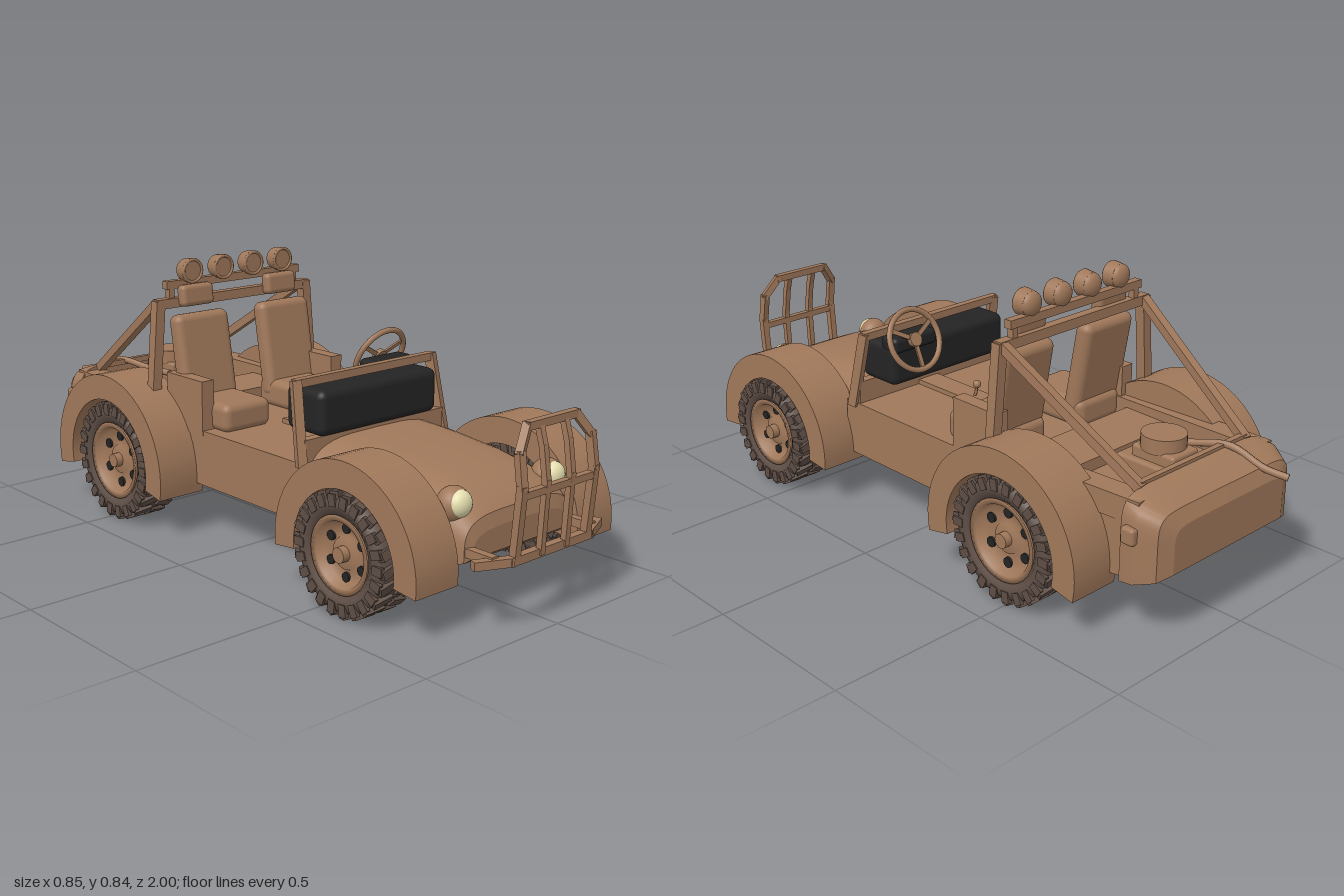
import * as THREE from 'three';
import { toCreasedNormals } from 'three/addons/utils/BufferGeometryUtils.js';
import { RoundedBoxGeometry } from 'three/addons/geometries/RoundedBoxGeometry.js';

const mat = (name, color, side = THREE.FrontSide) => {
  const m = new THREE.MeshStandardMaterial({ color, side });
  m.name = name;
  return m;
};
const V = (x, y, z) => new THREE.Vector3(x, y, z);

export function createModel() {
  const paint = mat('tan brown paint', 0xa0785a, THREE.DoubleSide);
  const rubber = mat('tyre rubber', 0x5e4e46);
  const black = mat('black trim', 0x242424);
  const cream = mat('headlight cream', 0xe6dfb0);
  const model = new THREE.Group();
  model.name = 'buggy';

  const add = (name, geo, material, x = 0, y = 0, z = 0, parent = model) => {
    const m = new THREE.Mesh(geo, material);
    m.name = name;
    m.position.set(x, y, z);
    parent.add(m);
    return m;
  };
  const box = (name, w, h, d, x, y, z, material = paint) =>
    add(name, new THREE.BoxGeometry(w, h, d), material, x, y, z);
  const soft = (name, w, h, d, r, x, y, z, material = paint) =>
    add(name, new RoundedBoxGeometry(w, h, d, 3, r), material, x, y, z);
  // Square bar between two points
  const bar = (name, a, b, t = 0.025) => {
    const m = add(name, new THREE.BoxGeometry(t, t, a.distanceTo(b) + t * 0.6), paint);
    m.position.copy(a).add(b).multiplyScalar(0.5);
    m.lookAt(b);
    return m;
  };
  const chain = (name, pts, t) => pts.slice(1).forEach((p, i) => bar(name, pts[i], p, t));
  const tube = (name, pts, r) =>
    add(name, new THREE.TubeGeometry(new THREE.CatmullRomCurve3(pts), 20, r, 8), paint);
  // Side outline of (z, y) points, extruded from x0 to x1
  const extrudeX = (name, pts, x0, x1) => {
    const g = new THREE.ExtrudeGeometry(new THREE.Shape(pts), { depth: x1 - x0, bevelEnabled: false });
    g.rotateY(-Math.PI / 2).translate(x1, 0, 0);
    return add(name, toCreasedNormals(g, 0.5), paint);
  };
  // Loft along z through superellipse arches: [z, halfWidth, bottom, top]
  const loft = (name, sections, p, n = 24) => {
    const pos = [], idx = [], row = n + 1;
    for (const [z, w, yb, yt] of sections)
      for (let i = 0; i <= n; i++) {
        const a = Math.PI * i / n, c = Math.cos(a), s = Math.max(0, Math.sin(a));
        pos.push(w * Math.sign(c) * Math.abs(c) ** p, yb + (yt - yb) * s ** p, z);
      }
    sections.forEach((_, k) => {
      if (!k) return;
      for (let i = 0; i < row; i++) {
        const j = (i + 1) % row, a = (k - 1) * row, b = k * row;
        idx.push(a + i, b + j, b + i, a + i, a + j, b + j);
      }
    });
    const last = (sections.length - 1) * row;
    for (let i = 1; i < n; i++) idx.push(0, i, i + 1, last, last + i + 1, last + i);
    const g = new THREE.BufferGeometry();
    g.setAttribute('position', new THREE.Float32BufferAttribute(pos, 3));
    g.setIndex(idx);
    return add(name, toCreasedNormals(g, 0.6), paint);
  };

  // Body
  extrudeX('tub', [[0.34, 0.16], [0.34, 0.335], [-0.86, 0.335], [-0.86, 0.18], [-0.72, 0.16]]
    .map(p => new THREE.Vector2(...p)), -0.285, 0.285);
  // Sections run from the rear forward or the nose backward, so both faces are kept
  loft('hood', [[0.865, 0.19, 0.19, 0.26], [0.855, 0.215, 0.18, 0.3], [0.82, 0.23, 0.17, 0.33],
    [0.76, 0.24, 0.155, 0.355], [0.62, 0.25, 0.15, 0.38], [0.45, 0.26, 0.15, 0.395],
    [0.28, 0.285, 0.16, 0.395]].reverse(), 0.5);
  loft('tail', [[-0.945, 0.235, 0.21, 0.345], [-0.925, 0.28, 0.195, 0.385], [-0.87, 0.31, 0.18, 0.41],
    [-0.82, 0.305, 0.17, 0.42]], 0.22, 32);
  box('rearShelf', 0.53, 0.04, 0.18, 0, 0.35, -0.46);
  box('tunnel', 0.08, 0.02, 0.35, 0, 0.34, 0.1);
  for (const s of [-1, 1]) {
    bar('baySide', V(s * 0.27, 0.36, -0.34), V(s * 0.25, 0.37, -0.84), 0.07);
    box('cabinSide', 0.045, 0.17, 0.18, s * 0.265, 0.405, -0.25);
    soft('tailLamp', 0.03, 0.05, 0.045, 0.01, s * 0.31, 0.32, -0.855);
  }

  // Fenders: ring arches around each wheel
  const fender = (name, z, y, R, r, drop, x0, x1) => {
    const arc = (rad, flip) => Array.from({ length: 33 }, (_, i) => {
      const t = (flip ? 32 - i : i) / 32, a = -drop + t * (Math.PI + 2 * drop);
      return new THREE.Vector2(z + rad * Math.cos(a), y + rad * Math.sin(a));
    });
    const pts = [...arc(R, false), ...arc(r, true)];
    extrudeX(name, pts, x0, x1);
    extrudeX(name, pts, -x1, -x0);
  };
  fender('frontFender', 0.59, 0.16, 0.275, 0.195, 0.11, 0.245, 0.4);
  fender('rearFender', -0.485, 0.185, 0.287, 0.208, 0.2, 0.26, 0.423);

  // Wheels, axle along x with the outer face on +x
  const wheel = (name, R, rim, w) => {
    const g = new THREE.Group(), h = w / 2;
    g.name = name;
    const turn = pts => new THREE.LatheGeometry(pts.map(p => new THREE.Vector2(...p)), 40).rotateZ(-Math.PI / 2);
    const cyl = (n, r, len, m, x, y = 0, z = 0) =>
      add(n, new THREE.CylinderGeometry(r, r, len, 16).rotateZ(-Math.PI / 2), m, x, y, z, g);
    add('tyre', turn([[rim, -h * 0.75], [rim + 0.02, -h * 0.92], [R - 0.04, -h], [R - 0.018, -h * 0.9],
      [R - 0.01, -h * 0.5], [R - 0.008, 0], [R - 0.01, h * 0.5], [R - 0.018, h * 0.9], [R - 0.04, h],
      [rim + 0.02, h * 0.92], [rim, h * 0.75], [rim, -h * 0.75]]), rubber, 0, 0, 0, g);
    for (let i = 0; i < 22; i++)
      for (const s of [-1, 1]) {
        const a = (i + (s > 0 ? 0.5 : 0)) / 22 * Math.PI * 2;
        const pivot = new THREE.Group();
        pivot.name = 'treadBlock';
        pivot.rotation.x = a;
        g.add(pivot);
        const lug = add('lug', new THREE.BoxGeometry(h * 0.92, 0.022, 0.026), rubber, s * h * 0.52, R - 0.012, 0, pivot);
        lug.rotation.y = s * 0.3;
        add('shoulderLug', new THREE.BoxGeometry(0.012, 0.035, 0.026), rubber, s * (h - 0.004), R - 0.026, 0, pivot);
      }
    add('rim', turn([[rim, -h * 0.75], [rim - 0.008, 0], [rim - 0.01, h * 0.7], [rim + 0.006, h * 0.9],
      [rim - 0.012, h * 0.85], [rim - 0.022, h * 0.45], [0.05, h * 0.35], [0.045, h * 0.55], [0, h * 0.58]]), paint, 0, 0, 0, g);
    cyl('hub', 0.022, 0.03, paint, h * 0.7);
    cyl('brakeDrum', rim - 0.004, 0.03, black, -h * 0.55);
    for (let i = 0; i < 6; i++) {
      const a = i * Math.PI / 3, d = rim * 0.65;
      cyl('rimHole', rim * 0.13, 0.012, black, h * 0.41, d * Math.cos(a), d * Math.sin(a));
    }
    return g;
  };
  for (const s of [-1, 1])
    for (const [name, R, rim, x, z] of [['frontWheel', 0.177, 0.105, 0.355, 0.59], ['rearWheel', 0.192, 0.118, 0.348, -0.48]]) {
      const w = wheel(name, R, rim, 0.125);
      w.position.set(s * x, R, z);
      w.rotation.y = s < 0 ? Math.PI : 0;
      model.add(w);
    }

  // Headlights
  for (const s of [-1, 1]) {
    const pod = add('headlightPod', new THREE.SphereGeometry(0.05, 24, 16), paint, s * 0.19, 0.322, 0.79);
    pod.scale.z = 0.9;
    const lens = add('headlightLens', new THREE.SphereGeometry(0.038, 24, 16), cream, s * 0.19, 0.328, 0.813);
    lens.scale.z = 0.8;
  }

  // Bumper and brush guard
  chain('bumper', [V(-0.25, 0.205, 0.925), V(-0.16, 0.205, 0.965), V(0.16, 0.205, 0.965), V(0.25, 0.205, 0.925)], 0.024);
  for (const s of [-1, 1]) {
    bar('bumperArm', V(s * 0.2, 0.21, 0.82), V(s * 0.2, 0.21, 0.94), 0.025);
    chain('guardSide', [V(s * 0.145, 0.205, 0.965), V(s * 0.145, 0.4, 0.982), V(s * 0.143, 0.49, 0.968), V(s * 0.098, 0.55, 0.95)], 0.022);
    chain('guardUpright', [V(s * 0.05, 0.205, 0.972), V(s * 0.05, 0.4, 0.982), V(s * 0.05, 0.49, 0.968), V(s * 0.05, 0.55, 0.95)], 0.018);
  }
  bar('guardTop', V(-0.098, 0.55, 0.95), V(0.098, 0.55, 0.95), 0.022);
  bar('guardCross', V(-0.145, 0.38, 0.98), V(0.145, 0.38, 0.98), 0.02);

  // Windscreen frame and dashboard
  for (const s of [-1, 1]) bar('windscreenPost', V(s * 0.288, 0.335, 0.3), V(s * 0.272, 0.56, 0.258), 0.028);
  bar('windscreenTop', V(-0.272, 0.56, 0.258), V(0.272, 0.56, 0.258), 0.024);
  box('cowl', 0.56, 0.08, 0.03, 0, 0.365, 0.292);
  soft('dashboard', 0.47, 0.135, 0.16, 0.025, 0, 0.4725, 0.247, black);
  soft('instrumentPod', 0.17, 0.05, 0.07, 0.015, 0.15, 0.54, 0.19, black);

  // Steering wheel
  const steer = new THREE.Group();
  steer.name = 'steeringWheel';
  steer.position.set(0.168, 0.555, 0.142);
  steer.rotation.x = 0.42;
  model.add(steer);
  add('steeringRim', new THREE.TorusGeometry(0.094, 0.009, 10, 40), paint, 0, 0, 0, steer);
  for (let i = 0; i < 3; i++) {
    const a = Math.PI / 2 + i * Math.PI * 2 / 3;
    const spoke = add('spoke', new THREE.BoxGeometry(0.09, 0.014, 0.006), paint, 0.045 * Math.cos(a), -0.045 * Math.sin(a), 0, steer);
    spoke.rotation.z = -a;
  }
  add('steeringHub', new THREE.CylinderGeometry(0.022, 0.022, 0.016, 20).rotateX(Math.PI / 2), paint, 0, 0, 0, steer);
  add('steeringColumn', new THREE.CylinderGeometry(0.012, 0.012, 0.08, 12).rotateX(Math.PI / 2), paint, 0, 0, 0.04, steer);

  // Gear lever
  tube('gearLever', [V(0, 0.34, 0.06), V(0, 0.36, 0.05), V(0, 0.385, 0.046)], 0.005);
  add('gearKnob', new THREE.SphereGeometry(0.013, 16, 12), paint, 0, 0.39, 0.045);

  // Seats
  for (const s of [-1, 1]) {
    soft('seatCushion', 0.18, 0.09, 0.24, 0.025, s * 0.16, 0.375, -0.21);
    soft('seatBack', 0.205, 0.31, 0.06, 0.025, s * 0.168, 0.515, -0.305).rotation.x = -0.17;
    soft('headrest', 0.122, 0.068, 0.04, 0.015, s * 0.17, 0.722, -0.34).rotation.x = -0.1;
  }

  // Roll cage
  for (const s of [-1, 1]) {
    bar('rollPost', V(s * 0.322, 0.42, -0.362), V(s * 0.298, 0.702, -0.362), 0.032);
    bar('rollBrace', V(s * 0.292, 0.7, -0.375), V(s * 0.225, 0.415, -0.81), 0.027);
    box('lightBarMount', 0.02, 0.05, 0.02, s * 0.25, 0.735, -0.365);
  }
  bar('rollTop', V(-0.298, 0.702, -0.362), V(0.298, 0.702, -0.362), 0.03);
  bar('lightBar', V(-0.262, 0.758, -0.365), V(0.262, 0.758, -0.365), 0.025);
  bar('rearCross', V(-0.22, 0.42, -0.81), V(0.22, 0.42, -0.81), 0.018);

  // Roof lamps
  for (const x of [-0.183, -0.061, 0.061, 0.183]) {
    add('lampBody', new THREE.CylinderGeometry(0.04, 0.036, 0.035, 28).rotateX(Math.PI / 2), paint, x, 0.798, -0.352);
    add('lampBack', new THREE.SphereGeometry(0.036, 24, 12), paint, x, 0.798, -0.368).scale.z = 0.6;
    add('lampRing', new THREE.TorusGeometry(0.035, 0.005, 8, 28), paint, x, 0.798, -0.335);
  }

  // Engine with air cleaner and exhaust
  soft('engineBlock', 0.15, 0.07, 0.23, 0.01, 0, 0.36, -0.71);
  soft('engineTop', 0.11, 0.05, 0.15, 0.01, 0, 0.405, -0.71);
  add('airCleaner', new THREE.CylinderGeometry(0.065, 0.065, 0.045, 28), paint, 0, 0.445, -0.705);
  tube('exhaust', [V(-0.07, 0.4, -0.63), V(-0.1, 0.41, -0.72), V(-0.135, 0.425, -0.83), V(-0.155, 0.385, -0.93), V(-0.182, 0.368, -0.995)], 0.011);
  return model;
}
